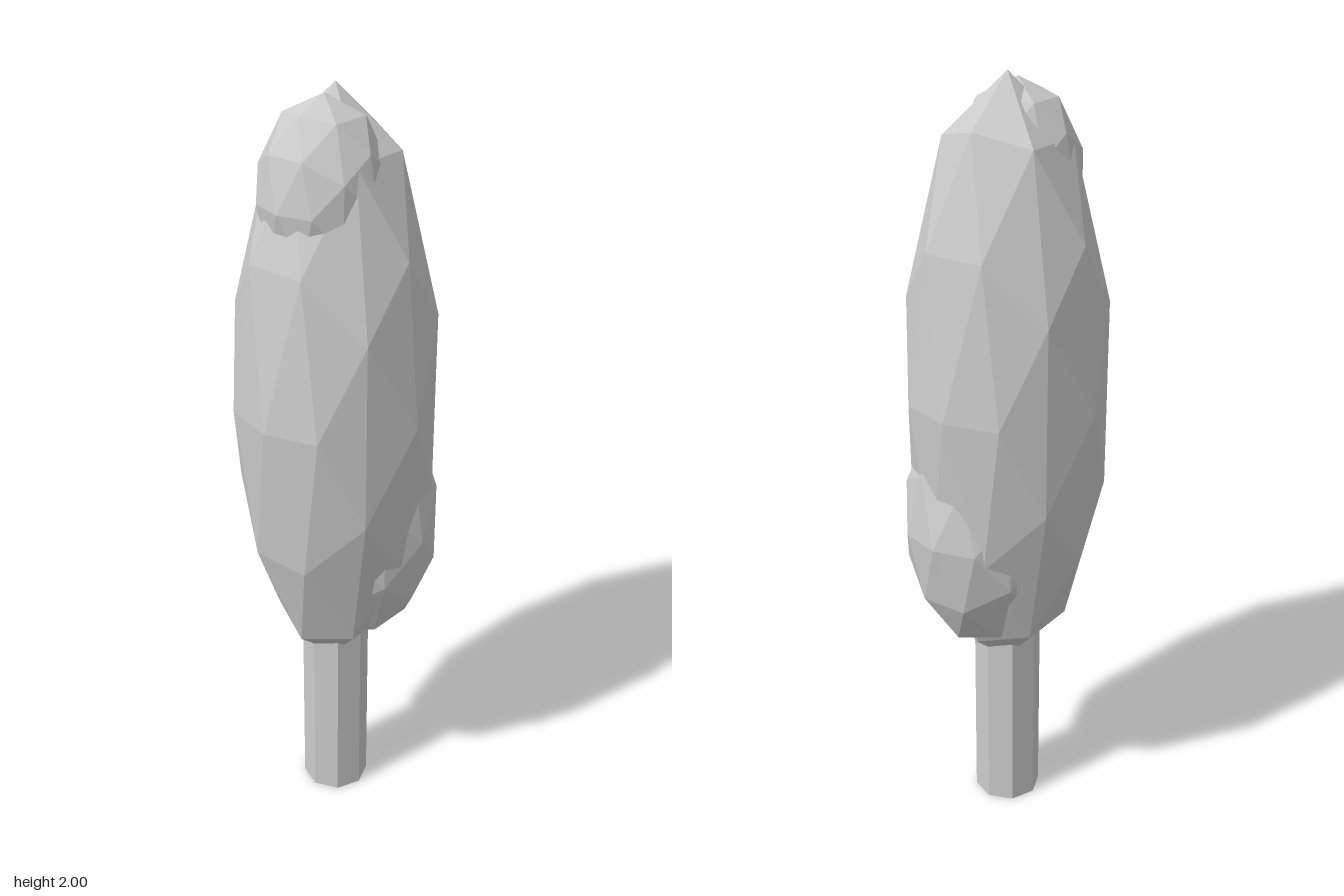
import * as THREE from 'three';

export function createModel() {
  const tree = new THREE.Group();
  tree.name = 'tree';
  const grey = new THREE.MeshStandardMaterial({ color: 0xcccccc });
  grey.name = 'light grey';
  grey.flatShading = true;

  const add = (name, geometry, x, y, z) => {
    const mesh = new THREE.Mesh(geometry, grey);
    mesh.name = name;
    mesh.position.set(x, y, z);
    tree.add(mesh);
  };

  // Faceted clump of leaves, stretched upwards
  const clump = (name, radius, halfHeight, x, y, z) => {
    const geometry = new THREE.IcosahedronGeometry(1, 1).scale(radius, halfHeight, radius);
    geometry.computeVertexNormals();
    add(name, geometry, x, y, z);
  };

  // Eight-sided trunk reaching up into the leaves
  add('trunk', new THREE.CylinderGeometry(0.089, 0.089, 0.7, 8), 0, 0.35, 0);

  // Tall crown with two bulges breaking its outline
  clump('crown', 0.262, 0.79, 0, 1.21, 0);
  clump('upperBulge', 0.162, 0.242, -0.04, 1.739, 0);
  clump('lowerBulge', 0.205, 0.356, 0.057, 0.853, 0.04);

  return tree;
}
